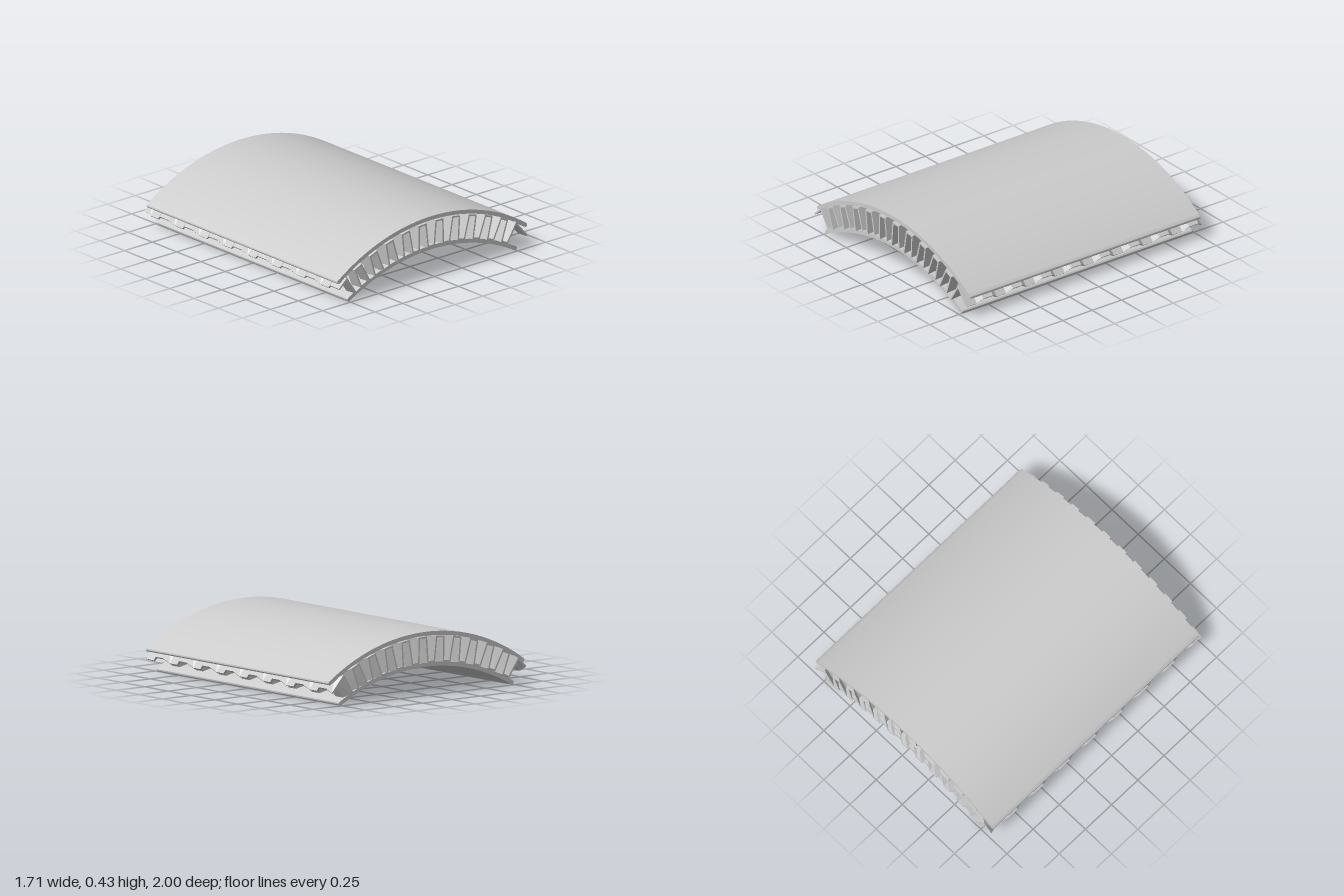
import * as THREE from 'three';
import { toCreasedNormals } from 'three/addons/utils/BufferGeometryUtils.js';

// Mid-surface arcs of the two skins: radius, apex height, half span
const OUTER = { r: 1.485, apex: 0.422, half: 0.837 };
const INNER = { r: 1.535, apex: 0.211, half: 0.745 };
const SKIN = 0.014; // half thickness of a skin
const CORE = 0.006; // half thickness of the core sheet

const arcPoint = (a, u) => {
  const angle = u * Math.asin(a.half / a.r);
  return new THREE.Vector2(a.r * Math.sin(angle), a.apex - a.r + a.r * Math.cos(angle));
};

// Curved plate with rounded long edges
function skinGeometry(a) {
  const half = Math.asin(a.half / a.r);
  const start = Math.PI / 2 - half, end = Math.PI / 2 + half;
  const cy = a.apex - a.r;
  const right = arcPoint(a, 1), left = arcPoint(a, -1);
  const shape = new THREE.Shape();
  shape.absarc(0, cy, a.r + SKIN, start, end, false);
  shape.absarc(left.x, left.y, SKIN, end, end + Math.PI, false);
  shape.absarc(0, cy, a.r - SKIN, end, start, true);
  shape.absarc(right.x, right.y, SKIN, start + Math.PI, start + Math.PI * 2, false);
  const geometry = new THREE.ExtrudeGeometry(shape, { depth: 1.96, bevelEnabled: false, curveSegments: 40 });
  geometry.translate(0, 0, -0.98);
  return toCreasedNormals(geometry, 0.6);
}

// Flat-topped zigzag along the length, from -1 to 1
const PITCH = 0.25, PHASE = 0.08;
function zigzag(z) {
  const d = Math.abs(z - PHASE - PITCH * Math.round((z - PHASE) / PITCH));
  return 1 - 2 * THREE.MathUtils.clamp((d - 0.04) / 0.045, 0, 1);
}

// Folded section at one z: steep walls joined by flats at each skin
function coreSection(z) {
  const w = zigzag(z), walls = 22, step = 0.0857;
  const flat = [[-1.04, 0.74 - 0.11 * w]];
  for (let i = 0; i < walls; i++) {
    const u = (i - (walls - 1) / 2) * step + 0.041 * w;
    const down = i % 2 === 0;
    flat.push([u - 0.008, down ? 0.9 : 0.1], [u + 0.008, down ? 0.1 : 0.9]);
  }
  flat.push([1.04, 0.74 + 0.11 * w]);
  const mid = flat.map(([u, t]) => arcPoint(INNER, u).lerp(arcPoint(OUTER, u), t));

  // Offset the fold line to both sides with mitred corners
  const normal = (a, b) => new THREE.Vector2(a.y - b.y, b.x - a.x).normalize();
  const upper = [], lower = [];
  mid.forEach((p, i) => {
    const n0 = normal(mid[Math.max(i - 1, 0)], mid[Math.max(i, 1)]);
    const n1 = i < mid.length - 1 ? normal(p, mid[i + 1]) : n0;
    const n = n0.clone().add(n1).normalize();
    const d = CORE / Math.max(n.dot(n0), 0.5);
    upper.push(p.clone().addScaledVector(n, d));
    lower.push(p.clone().addScaledVector(n, -d));
  });
  return { upper, lower };
}

function coreGeometry() {
  // Fold lines across the length
  const stations = [-1, 1];
  for (let k = -5; k <= 5; k++) {
    for (const d of [-0.085, -0.04, 0.04, 0.085]) {
      const z = PHASE + k * PITCH + d;
      if (Math.abs(z) < 0.995) stations.push(z);
    }
  }
  stations.sort((a, b) => a - b);

  const positions = [], indices = [];
  let count = 0;
  for (const z of stations) {
    const { upper, lower } = coreSection(z);
    count = upper.length;
    for (const p of [...upper, ...lower.reverse()]) positions.push(p.x, p.y, z);
  }
  const ring = count * 2;
  for (let s = 0; s < stations.length - 1; s++) {
    for (let i = 0; i < ring; i++) {
      const j = (i + 1) % ring;
      const a = s * ring + i, b = s * ring + j;
      indices.push(a, a + ring, b, b, a + ring, b + ring);
    }
  }
  // Close the sheet at both ends
  const last = (stations.length - 1) * ring;
  for (let i = 0; i < count - 1; i++) {
    const a = i, b = i + 1, c = ring - 2 - i, d = ring - 1 - i;
    indices.push(a, b, c, a, c, d);
    indices.push(last + a, last + c, last + b, last + a, last + d, last + c);
  }
  const geometry = new THREE.BufferGeometry();
  geometry.setAttribute('position', new THREE.Float32BufferAttribute(positions, 3));
  geometry.setIndex(indices);
  const faceted = geometry.toNonIndexed();
  faceted.computeVertexNormals();
  return faceted;
}

export function createModel() {
  const group = new THREE.Group();
  group.name = 'curvedSandwichPanel';
  const add = (name, geometry, options = {}) => {
    const mesh = new THREE.Mesh(geometry, new THREE.MeshStandardMaterial({ color: 0xcccccc, ...options }));
    mesh.name = name;
    group.add(mesh);
  };
  add('outerSkin', skinGeometry(OUTER));
  add('innerSkin', skinGeometry(INNER));
  add('foldedCore', coreGeometry(), { flatShading: true, side: THREE.DoubleSide });
  return group;
}
